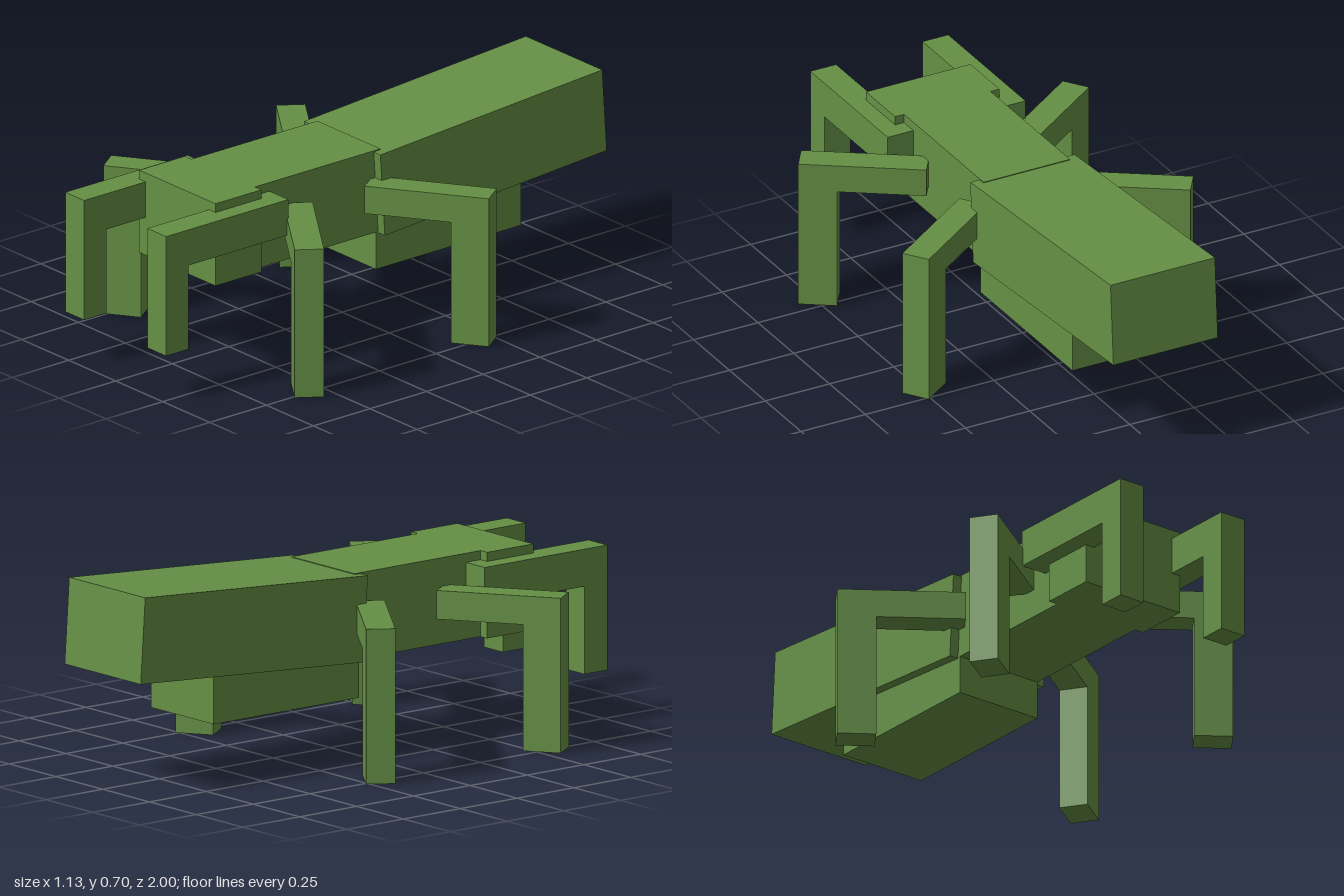
import * as THREE from 'three';

const green = new THREE.MeshStandardMaterial({ color: 0x659045 });
green.name = 'leaf green';

// Box given by its minimum and maximum corners
function box(name, [x0, y0, z0], [x1, y1, z1]) {
  const g = new THREE.BoxGeometry(x1 - x0, y1 - y0, z1 - z0);
  g.translate((x0 + x1) / 2, (y0 + y1) / 2, (z0 + z1) / 2);
  const m = new THREE.Mesh(g, green);
  m.name = name;
  return m;
}

// Walking leg: horizontal thigh along local +x with a shin at its end
function walkingLeg(name, x, z, angle) {
  const leg = new THREE.Group();
  leg.name = name;
  leg.add(
    box('thigh', [0, 0.44, -0.05], [0.305, 0.54, 0.05]),
    box('shin', [0.305, 0, -0.05], [0.438, 0.54, 0.05])
  );
  leg.position.set(x, 0, z);
  leg.rotation.y = angle;
  return leg;
}

// Raised front arm: horizontal upper arm with a hanging forearm
function frontArm(name, side) {
  const arm = new THREE.Group();
  arm.name = name;
  const a = side > 0 ? 0.168 : -0.268, b = a + 0.1;
  arm.add(
    box('upperArm', [a, 0.478, 0.46], [b, 0.608, 0.9]),
    box('forearm', [a, 0.172, 0.9], [b, 0.608, 1])
  );
  return arm;
}

export function createModel() {
  const model = new THREE.Group();
  model.name = 'insect';

  // Body
  model.add(
    box('head', [-0.203, 0.34, 0.525], [0.203, 0.64, 0.728]),
    box('thorax', [-0.168, 0.34, -0.03], [0.168, 0.64, 0.525]),
    box('abdomen', [-0.168, 0.205, -0.65], [0.168, 0.48, -0.01])
  );

  // Folded wing case, tilted up towards the back
  const wings = box('wingCase', [-0.203, -0.15, -0.491], [0.203, 0.15, 0.491]);
  wings.position.set(0, 0.518, -0.5);
  wings.rotation.x = 0.066;
  model.add(wings);

  // Limbs, mirrored left and right
  const splay = 0.605;
  for (const [label, side] of [['left', 1], ['right', -1]]) {
    const turn = side > 0 ? 0 : Math.PI;
    model.add(
      frontArm(label + 'FrontArm', side),
      walkingLeg(label + 'MiddleLeg', side * 0.177, 0.342, turn - side * splay),
      walkingLeg(label + 'BackLeg', side * 0.177, 0.03, turn + side * splay)
    );
  }
  return model;
}
